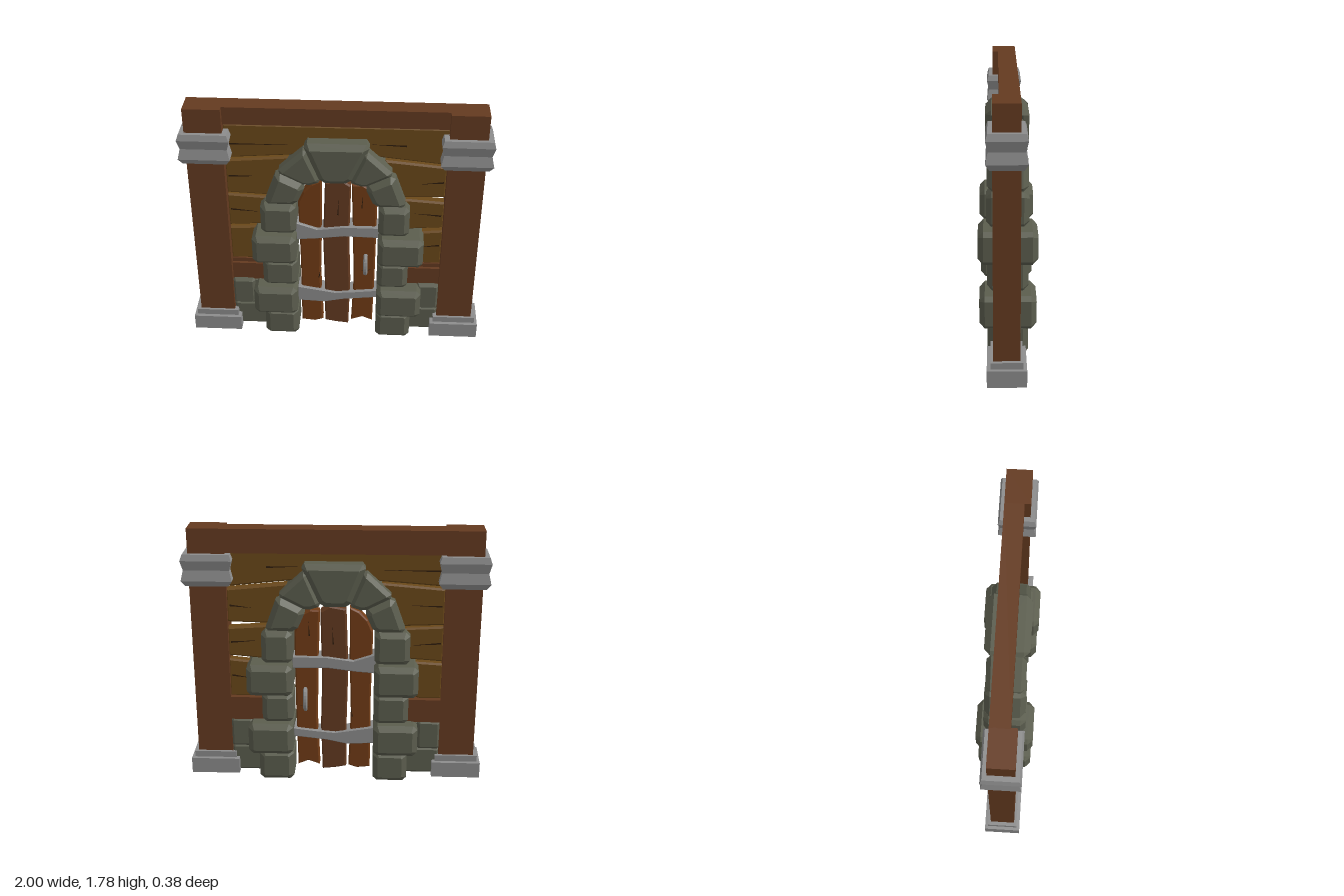
import * as THREE from 'three';

const material = (color) => new THREE.MeshStandardMaterial({ color, flatShading: true, roughness: 0.9 });

export function createModel() {
  const model = new THREE.Group();
  model.name = 'archedDoorway';
  const timber = material(0x643a20), plankWood = material(0x6a4819), doorWood = material(0x713c16);
  const doorMiddle = material(0x633a20), crackWood = material(0x2e1c0c);
  const stone = material(0x5b5d4e), metal = material(0x8c8c8c);

  const add = (name, geometry, mat, parent = model) => {
    const mesh = new THREE.Mesh(geometry, mat);
    mesh.name = name;
    parent.add(mesh);
    return mesh;
  };
  const group = (name) => {
    const g = new THREE.Group();
    g.name = name;
    model.add(g);
    return g;
  };
  const box = (name, x0, x1, y0, y1, z0, z1, mat, parent) =>
    add(name, new THREE.BoxGeometry(x1 - x0, y1 - y0, z1 - z0)
      .translate((x0 + x1) / 2, (y0 + y1) / 2, (z0 + z1) / 2), mat, parent);

  // Outline extruded from z0 to z1, with chamfered rims kept inside the outline
  const slab = (name, pts, z0, z1, bevel, mat, parent) => {
    const shape = new THREE.Shape(pts.map(([x, y]) => new THREE.Vector2(x, y)));
    const geometry = new THREE.ExtrudeGeometry(shape, {
      depth: z1 - z0 - 2 * bevel, bevelEnabled: bevel > 0, bevelSegments: 1,
      bevelThickness: bevel, bevelSize: bevel, bevelOffset: -bevel,
    });
    return add(name, geometry.translate(0, 0, z0 + bevel), mat, parent);
  };
  // Clip every corner of an outline by a fixed length
  const clipCorners = (pts, c) => pts.flatMap((p, i) => {
    const n = pts.length;
    return [pts[(i + n - 1) % n], pts[(i + 1) % n]].map((q) => {
      const t = c / Math.hypot(q[0] - p[0], q[1] - p[1]);
      return [p[0] + (q[0] - p[0]) * t, p[1] + (q[1] - p[1]) * t];
    });
  });
  const rect = (x0, x1, y0, y1) => [[x0, y0], [x1, y0], [x1, y1], [x0, y1]];
  const block = (name, pts, depth, parent, bevel = 0.035) =>
    slab(name, clipCorners(pts, bevel * 0.8), -depth, depth, bevel, stone, parent);

  // Rectangular rings [y, halfX, halfZ] joined into a closed collar
  const collar = (name, rings, cx, cz, parent) => {
    const pos = [], index = [];
    rings.forEach(([y, hx, hz]) => {
      for (const [sx, sz] of [[-1, 1], [1, 1], [1, -1], [-1, -1]]) pos.push(cx + sx * hx, y, cz + sz * hz);
    });
    for (let r = 0; r < rings.length - 1; r++) {
      for (let k = 0; k < 4; k++) {
        const a = r * 4 + k, b = r * 4 + (k + 1) % 4;
        index.push(a, b, b + 4, a, b + 4, a + 4);
      }
    }
    const t = (rings.length - 1) * 4;
    index.push(0, 2, 1, 0, 3, 2, t, t + 1, t + 2, t, t + 2, t + 3);
    const geometry = new THREE.BufferGeometry();
    geometry.setAttribute('position', new THREE.Float32BufferAttribute(pos, 3));
    geometry.setIndex(index);
    const flat = geometry.toNonIndexed();
    flat.computeVertexNormals();
    add(name, flat, metal, parent);
  };

  // Posts with metal collars and feet
  const frame = group('timberFrame');
  for (const s of [-1, 1]) {
    const cx = s * 0.833;
    box('post', cx - 0.12, cx + 0.12, 0.06, 1.78, -0.07, 0.095, timber, frame);
    collar('upperCollar', [[1.4, 0.14, 0.1], [1.44, 0.166, 0.122], [1.51, 0.15, 0.108],
      [1.575, 0.166, 0.122], [1.615, 0.152, 0.11]], cx, 0.012, frame);
    collar('postFoot', [[0.04, 0.166, 0.122], [0.15, 0.166, 0.122], [0.152, 0.145, 0.1],
      [0.195, 0.145, 0.1]], cx, 0.012, frame);
    // Lower rail with a sloping top edge
    const [x0, x1] = s < 0 ? [-0.72, -0.3] : [0.3, 0.72];
    box('lowerRail', x0, x1, 0.44, 0.575, -0.07, 0.055, timber, frame);
    box('railLip', x0, x1, 0.575, 0.605, -0.07, 0.035, timber, frame);
  }
  // Top beam, its lower front edge sloping back
  const beam = box('topBeam', -0.72, 0.72, 1.62, 1.78, -0.07, 0.055, timber, frame);
  const bp = beam.geometry.attributes.position;
  for (let i = 0; i < bp.count; i++) if (bp.getY(i) < 1.7 && bp.getZ(i) > 0) bp.setY(i, 1.66);
  beam.geometry.computeVertexNormals();

  // Wall planks with uneven gaps
  const wall = group('wallPlanks');
  slab('topPlank', [[-0.72, 1.4], [-0.25, 1.435], [0.25, 1.435], [0.72, 1.385], [0.72, 1.65], [-0.72, 1.65]],
    -0.04, 0.03, 0.012, plankWood, wall);
  const leftward = [
    [[0.36, 1.13], [0.72, 1.14], [0.72, 1.37], [0.32, 1.41], [0.3, 1.36]],
    [[0.36, 0.87], [0.72, 0.9], [0.72, 1.1], [0.36, 1.125]],
    [[0.36, 0.62], [0.53, 0.62], [0.57, 0.6], [0.72, 0.6], [0.72, 0.875], [0.36, 0.84]],
  ];
  const rightward = [
    [[0.36, 1.12], [0.72, 1.135], [0.72, 1.385], [0.3, 1.42], [0.3, 1.36]],
    [[0.36, 0.9], [0.72, 0.875], [0.72, 1.125], [0.36, 1.105]],
    [[0.36, 0.62], [0.53, 0.62], [0.57, 0.6], [0.72, 0.6], [0.72, 0.86], [0.36, 0.88]],
  ];
  leftward.forEach((p) => slab('leftPlank', p, -0.04, 0.03, 0.012, plankWood, wall));
  rightward.forEach((p) => slab('rightPlank', p.map(([x, y]) => [-x, y]), -0.04, 0.03, 0.012, plankWood, wall));
  // Narrow splits in the planks
  const splits = [[-0.7, 1.5, 0.4, 0.01], [0.45, 1.515, -0.22, 0.012], [-0.7, 1.26, 0.2, 0.01],
    [-0.7, 1.0, 0.2, -0.01], [0.7, 0.99, -0.18, 0.02], [0.7, 1.25, -0.15, -0.01], [0.7, 0.75, -0.14, -0.015]];
  splits.forEach(([x, y, w, h]) =>
    slab('plankSplit', [[x, y], [x + w, y + h], [x, y + 0.012]], -0.041, 0.031, 0, crackWood, wall));

  // Low stone infill beside the door surround
  const infill = group('stoneInfill');
  for (const s of [-1, 1]) {
    for (const [x0, x1, y0, y1, d] of [[0.46, 0.72, 0.045, 0.245, 0.07], [0.56, 0.72, 0.235, 0.45, 0.08], [0.4, 0.58, 0.235, 0.45, 0.06]]) {
      block('infillStone', s < 0 ? rect(-x1, -x0, y0, y1) : rect(x0, x1, y0, y1), d, infill, 0.02);
    }
  }

  // Jamb stones: [y0, y1, left outer x, right outer x, half depth]
  const arch = group('stoneArch');
  const jambs = [[0, 0.225, 0.525, 0.495, 0.132], [0.22, 0.445, 0.59, 0.56, 0.183], [0.44, 0.66, 0.495, 0.495, 0.132],
    [0.66, 0.88, 0.59, 0.555, 0.19], [0.875, 1.105, 0.49, 0.495, 0.137]];
  jambs.forEach(([y0, y1, left, right, d]) => {
    block('leftJambStone', rect(0.285, left, y0, y1), d, arch);
    block('rightJambStone', rect(-right, -0.26, y0, y1), d, arch);
  });
  // Arch wedges and keystone
  for (const s of [-1, 1]) {
    const flip = (pts) => pts.map(([x, y]) => [s * x, y]);
    block('springerStone', flip([[0.255, 1.1], [0.468, 1.1], [0.38, 1.345], [0.19, 1.25]]), 0.132, arch);
    block('shoulderStone', flip([[0.19, 1.245], [0.382, 1.345], [0.19, 1.525], [0.085, 1.28]]), 0.125, arch, 0.03);
  }
  block('keystone', [[-0.097, 1.275], [0.097, 1.275], [0.23, 1.565], [-0.21, 1.565]], 0.142, arch, 0.04);

  // Door leaf of three rough planks
  const door = group('door');
  slab('doorPlank', [[-0.24, 0.07], [-0.15, 0.06], [-0.09, 0.08], [-0.105, 0.5], [-0.095, 0.9], [-0.095, 1.25],
    [-0.16, 1.22], [-0.215, 1.16], [-0.25, 1.08], [-0.24, 0.6]], -0.04, 0.04, 0.01, doorWood, door);
  slab('doorPlank', [[-0.075, 0.075], [0.0, 0.06], [0.09, 0.05], [0.1, 0.4], [0.09, 0.75], [0.1, 1.22],
    [0.04, 1.26], [-0.07, 1.24], [-0.085, 0.8], [-0.075, 0.4]], -0.045, 0.045, 0.01, doorMiddle, door);
  slab('doorPlank', [[0.11, 0.08], [0.19, 0.11], [0.26, 0.08], [0.27, 0.5], [0.275, 1.07], [0.22, 1.2],
    [0.17, 1.23], [0.105, 1.225], [0.115, 0.9], [0.125, 0.45]], -0.04, 0.04, 0.01, doorWood, door);
  [[-0.12, 0.46, 0.015, 0.07], [0.01, 0.99, 0.012, 0.13], [0.18, 0.53, 0.06, 0.01], [0.17, 1.05, 0.01, 0.1]].forEach(([x, y, w, h]) =>
    slab('doorSplit', [[x, y], [x + 0.008, y], [x + w, y + h]], -0.046, 0.046, 0, crackWood, door));

  // Wavy metal straps around the leaf
  slab('upperStrap', [[-0.27, 0.79], [-0.14, 0.8], [0.06, 0.825], [0.29, 0.82], [0.29, 0.905], [0.06, 0.905],
    [-0.12, 0.88], [-0.27, 0.93]], -0.06, 0.06, 0.006, metal, door);
  slab('lowerStrap', [[-0.27, 0.265], [-0.08, 0.255], [0.06, 0.285], [0.29, 0.31], [0.29, 0.375], [0.12, 0.355],
    [0.0, 0.345], [-0.27, 0.39]], -0.06, 0.06, 0.006, metal, door);

  // Bowed pull handle on both faces
  for (const s of [-1, 1]) {
    const path = new THREE.CatmullRomCurve3([[0.505, 0.03], [0.53, 0.07], [0.585, 0.085], [0.64, 0.07], [0.665, 0.03]]
      .map(([y, z]) => new THREE.Vector3(0.205, y, s * z)));
    add('pullHandle', new THREE.TubeGeometry(path, 10, 0.015, 6), metal, door);
  }
  return model;
}
